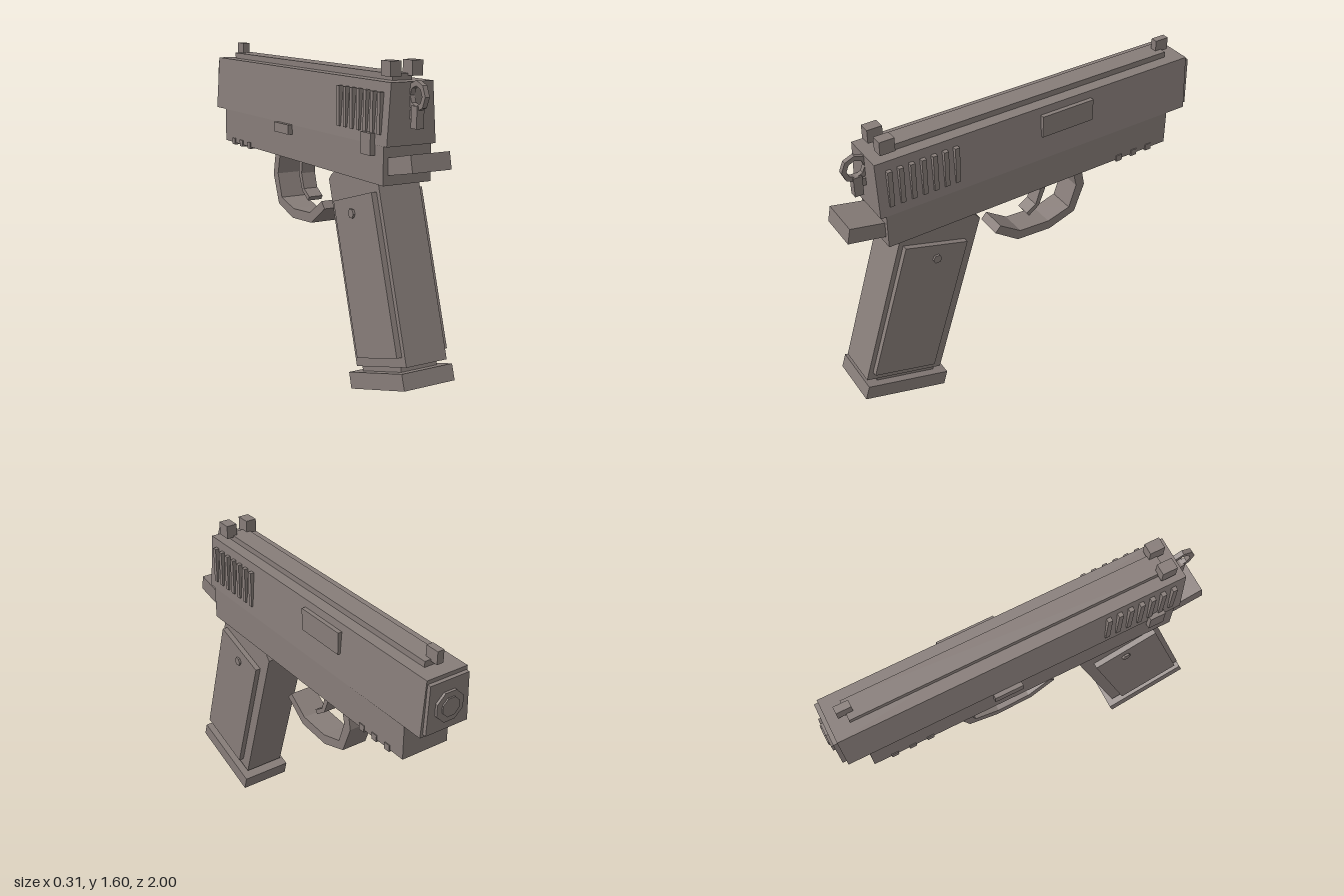
import * as THREE from 'three';

export function createModel() {
  const model = new THREE.Group();
  model.name = 'pistol';
  const metal = new THREE.MeshStandardMaterial({ color: 0x877d79 });
  metal.name = 'warm grey metal';

  function add(name, geometry) {
    const mesh = new THREE.Mesh(geometry, metal);
    mesh.name = name;
    model.add(mesh);
    return mesh;
  }

  const toShape = (pts) => new THREE.Shape(pts.map(([a, b]) => new THREE.Vector2(a, b)));
  const ngon = (ca, cb, r, sides, turn = 0) => Array.from({ length: sides }, (_, i) => {
    const t = turn + (i / sides) * Math.PI * 2;
    return [ca + r * Math.cos(t), cb + r * Math.sin(t)];
  });

  // Side outline in (z, y), extruded from x0 to x1
  function side(name, pts, x0, x1, hole) {
    const shape = toShape(pts);
    if (hole) shape.holes.push(new THREE.Path(hole.map(([a, b]) => new THREE.Vector2(a, b))));
    const g = new THREE.ExtrudeGeometry(shape, { depth: x1 - x0, bevelEnabled: false });
    g.rotateY(-Math.PI / 2).translate(x1, 0, 0);
    return add(name, g);
  }

  // Cross-section in (x, y), extruded from z0 to z1
  function section(name, pts, z0, z1) {
    const g = new THREE.ExtrudeGeometry(toShape(pts), { depth: z1 - z0, bevelEnabled: false });
    return add(name, g.translate(0, 0, z0));
  }

  // Box given by its limits
  function box(name, x0, x1, y0, y1, z0, z1) {
    const g = new THREE.BoxGeometry(x1 - x0, y1 - y0, z1 - z0);
    return add(name, g.translate((x0 + x1) / 2, (y0 + y1) / 2, (z0 + z1) / 2));
  }

  // Slide, muzzle and top rib
  section('slide', [[-0.133, 1.22], [0.133, 1.22], [0.113, 1.505], [-0.113, 1.505]], -0.96, 0.82);
  section('muzzlePlate', [[-0.118, 1.235], [0.118, 1.235], [0.108, 1.485], [-0.108, 1.485]], -0.98, -0.95);
  section('barrelCollar', ngon(0, 1.355, 0.08, 8, Math.PI / 8), -0.993, -0.97);
  section('barrelTip', ngon(0, 1.355, 0.05, 8, Math.PI / 8), -1.0, -0.98);
  box('topRib', -0.052, 0.052, 1.5, 1.535, -0.87, 0.74);

  // Sights
  box('frontSight', -0.018, 0.018, 1.525, 1.59, -0.91, -0.835);
  for (const s of [-1, 1]) {
    const [a, b] = [0.03 * s, 0.088 * s].sort((p, q) => p - q);
    box('rearSight', a, b, 1.525, 1.595, 0.698, 0.775);
  }

  // Slide grooves raised on both sides
  for (const s of [-1, 1]) {
    for (let i = 0; i < 7; i++) {
      const z = 0.757 - i * 0.058;
      const [a, b] = [0.1 * s, 0.138 * s].sort((p, q) => p - q);
      box('slideSerration', a, b, 1.27, 1.46, z - 0.012, z + 0.012);
    }
  }
  box('ejectionPort', 0.1, 0.138, 1.35, 1.465, -0.36, -0.065);

  // Frame with accessory rail ridges
  box('frame', -0.13, 0.13, 1.04, 1.22, -0.85, 0.79);
  for (const z of [-0.55, -0.645, -0.74]) {
    box('railRidge', -0.135, 0.135, 1.03, 1.065, z - 0.018, z + 0.018);
  }
  box('slideStop', -0.155, -0.12, 1.17, 1.22, -0.205, -0.055);
  box('safetyLever', -0.155, -0.11, 1.17, 1.272, 0.638, 0.72);
  side('beavertail', [[0.7, 1.148], [0.965, 1.205], [0.982, 1.125], [0.7, 1.068]], -0.105, 0.105);

  // Hammer ring and stem
  side('hammerRing', ngon(0.865, 1.445, 0.07, 8), -0.012, 0.012, ngon(0.865, 1.445, 0.045, 8));
  box('hammerStem', -0.02, 0.02, 1.3, 1.402, 0.84, 0.885);
  box('hammerPivot', -0.012, 0.012, 1.34, 1.38, 0.81, 0.85);

  // Raked grip, side panels and screws
  side('grip', [[0.972, 0.238], [0.555, 0.112], [0.285, 0.99], [0.31, 1.02], [0.38, 1.06], [0.718, 1.06]], -0.112, 0.112);
  const panel = [[0.71, 1.0], [0.375, 0.9], [0.6, 0.172], [0.935, 0.275]];
  side('gripPanelLeft', panel, 0.1, 0.14);
  side('gripPanelRight', panel, -0.14, -0.1);
  const screw = ngon(0.55, 0.872, 0.024, 6);
  side('gripScrewLeft', screw, 0.13, 0.151);
  side('gripScrewRight', screw, -0.151, -0.13);

  // Magazine neck and base plate
  side('magazine', [[0.9, 0.26], [0.92, 0.17], [0.6, 0.07], [0.573, 0.16]], -0.1, 0.1);
  side('basePlate', [[1.0, 0.14], [0.976, 0.214], [0.528, 0.078], [0.55, 0.0]], -0.14, 0.14);

  // Trigger guard and trigger
  side('triggerGuard', [
    [-0.348, 1.06], [-0.378, 0.91], [-0.32, 0.757], [-0.165, 0.705], [0.035, 0.717], [0.17, 0.815],
    [0.14, 0.85], [0.02, 0.768], [-0.155, 0.757], [-0.285, 0.795], [-0.327, 0.92], [-0.295, 1.06],
  ], -0.07, 0.07);
  side('trigger', [
    [-0.143, 1.06], [-0.15, 0.95], [-0.115, 0.86], [-0.053, 0.815],
    [-0.038, 0.837], [-0.094, 0.872], [-0.12, 0.95], [-0.105, 1.06],
  ], -0.04, 0.04);

  return model;
}
